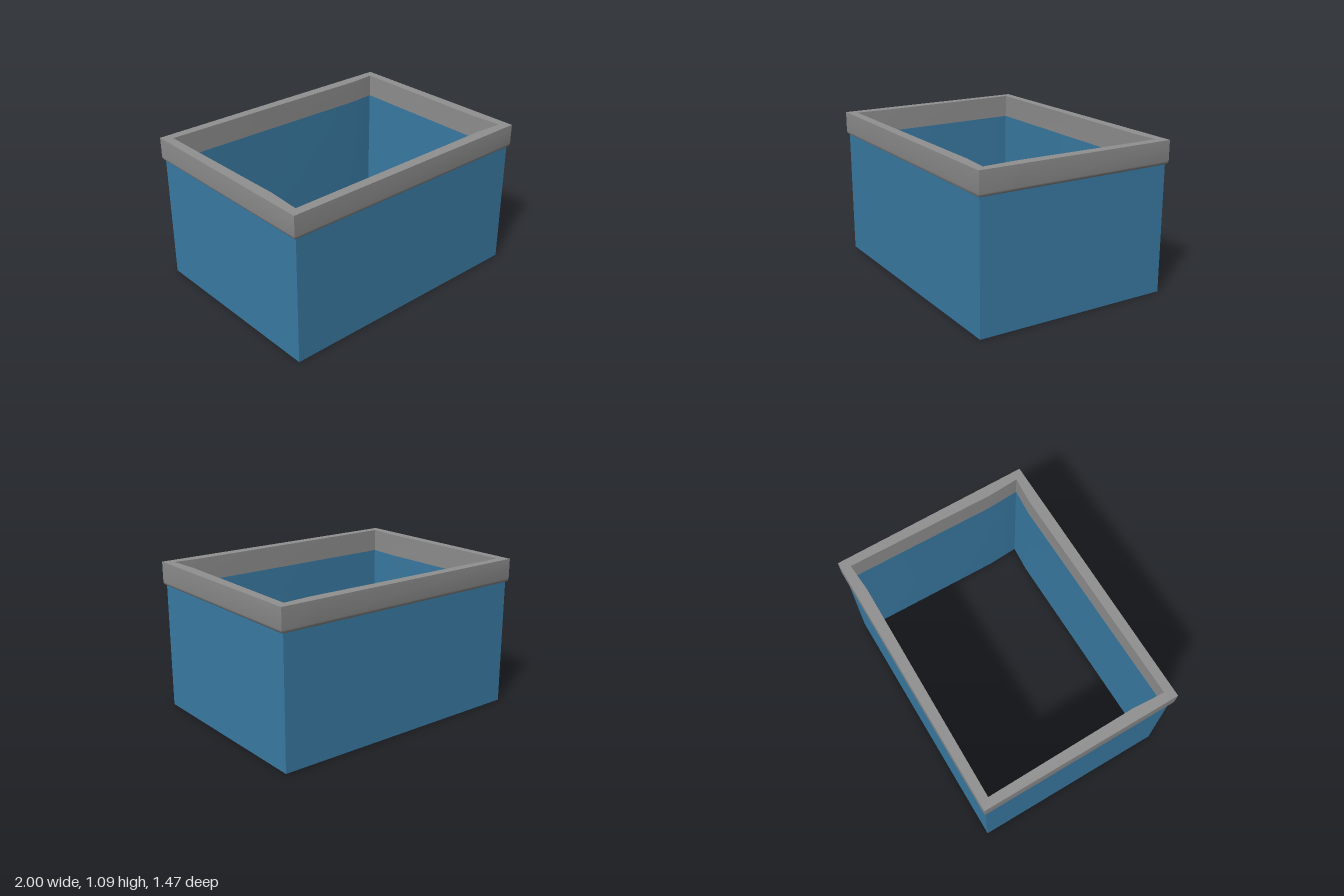
import * as THREE from 'three';
import { toCreasedNormals } from 'three/addons/utils/BufferGeometryUtils.js';

// Rectangular ring, counter-clockwise from above; bulge pushes the sides inwards.
function ring(hx, hz, y, bulge = 0) {
  const bx = 0.73, bz = 0.43;
  return [
    [-hx, hz], [bx, hz - bulge], [hx, hz], [hx - bulge, bz],
    [hx, -hz], [bx, -hz + bulge], [-hx, -hz], [-hx + bulge, bz],
  ].map(([x, z]) => new THREE.Vector3(x, y, z));
}

// Skin consecutive rings into a frame.
function loft(rings) {
  const points = [];
  for (let i = 0; i < rings.length - 1; i++) {
    const a = rings[i], b = rings[i + 1];
    for (let j = 0; j < a.length; j++) {
      const k = (j + 1) % a.length;
      points.push(a[j], a[k], b[k], a[j], b[k], b[j]);
    }
  }
  const geometry = new THREE.BufferGeometry().setFromPoints(points);
  return toCreasedNormals(geometry, 0.6);
}

export function createModel() {
  const group = new THREE.Group();
  const add = (name, rings, color) => {
    const mesh = new THREE.Mesh(loft(rings), new THREE.MeshStandardMaterial({ color, side: THREE.DoubleSide }));
    mesh.name = name;
    group.add(mesh);
  };
  const inner = (y) => ring(0.935, 0.67, y, 0.015);
  const seam = 0.92, top = 1.09;

  // Open-bottomed walls, slightly thicker towards the middle of each side
  add('walls', [inner(seam), inner(0), ring(0.98, 0.722, 0), ring(0.98, 0.722, seam)], 0x3a7ca5);

  // Overhanging rim with a rounded lower edge
  add('rim', [
    inner(seam),
    ring(0.982, 0.722, seam),
    ring(0.99, 0.728, 0.923),
    ring(0.997, 0.733, 0.932),
    ring(1, 0.736, 0.945),
    ring(1, 0.736, top),
    inner(top),
    inner(seam),
  ], 0x909090);
  return group;
}
